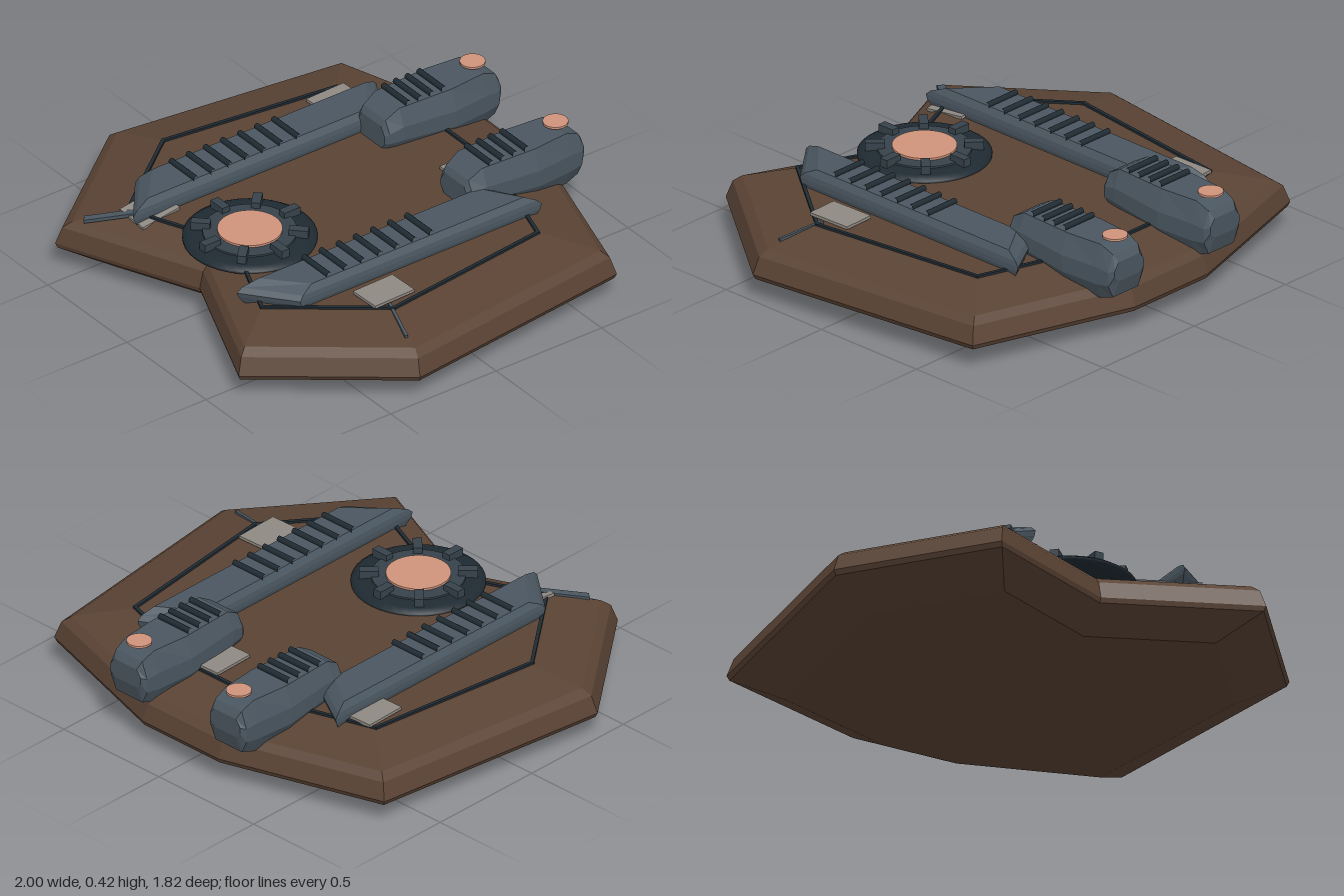
import * as THREE from 'three';

const mat = (name, color, extra = {}) => {
  const m = new THREE.MeshStandardMaterial({ color, ...extra });
  m.name = name;
  return m;
};

// Skin a stack of closed rings with flat facets and fan caps at both ends.
function loft(rings) {
  const pos = [];
  const tri = (a, b, c) => pos.push(...a, ...b, ...c);
  const n = rings[0].length;
  const mid = r => [0, 1, 2].map(k => r.reduce((s, p) => s + p[k], 0) / n);
  for (let j = 0; j < rings.length - 1; j++) {
    for (let i = 0; i < n; i++) {
      const k = (i + 1) % n, a = rings[j], b = rings[j + 1];
      tri(a[i], a[k], b[k]);
      tri(a[i], b[k], b[i]);
    }
  }
  const first = rings[0], last = rings[rings.length - 1];
  for (let i = 0; i < n; i++) {
    const k = (i + 1) % n;
    tri(mid(first), first[k], first[i]);
    tri(mid(last), last[i], last[k]);
  }
  const g = new THREE.BufferGeometry();
  g.setAttribute('position', new THREE.Float32BufferAttribute(pos, 3));
  g.computeVertexNormals();
  return g;
}

// Stack a plan outline at several heights: levels are [y, scaleX, scaleZ, shiftZ].
const stack = (outline, levels) =>
  loft(levels.map(([y, sx, sz, dz = 0]) => outline.map(([x, z]) => [x * sx, y, z * sz + dz])));

export function createModel() {
  const model = new THREE.Group();
  const brown = mat('hull brown', 0x5a4334);
  const slate = mat('slate', 0x4a5660);
  const gunmetal = mat('gunmetal', 0x36424b);
  const dark = mat('dark trim', 0x1f2a32);
  const copper = mat('copper', 0xcf937b);
  const grey = mat('patch grey', 0x8f8982);

  const add = (name, geo, material, x = 0, y = 0, z = 0, parent = model) => {
    const m = new THREE.Mesh(geo, material);
    m.name = name;
    m.position.set(x, y, z);
    parent.add(m);
    return m;
  };

  // Hull: notched bow, wide shoulders, shallow stern
  const half = [[0.58, 0.905], [1, 0.36], [0.87, -0.67], [0.2, -0.88]];
  const outline = [[0, 0.655], ...half, ...half.map(([x, z]) => [-x, z]).reverse()];
  add('hull', stack(outline, [
    [0, 0.8, 0.8], [0.09, 0.99, 0.99], [0.11, 1, 1],
    [0.18, 0.975, 0.975], [0.205, 0.94, 0.94], [0.25, 0.745, 0.745, 0.015],
  ]), brown);

  // Dark seam following the deck edge
  const seam = outline.map(([x, z]) => new THREE.Vector3(x * 0.73, 0.252, z * 0.73 + 0.018));
  seam.forEach((a, i) => {
    const b = seam[(i + 1) % seam.length];
    const s = add('deckSeam', new THREE.BoxGeometry(0.014, 0.014, a.distanceTo(b) + 0.012), dark);
    s.position.copy(a).lerp(b, 0.5);
    s.lookAt(b);
  });

  // Rails and engines, mirrored left and right
  const barGeo = new THREE.CylinderGeometry(0.012, 0.012, 0.16, 10, 1, true).rotateZ(Math.PI / 2);
  const engineStations = [ // z, half width, bottom, top
    [-0.91, 0.08, 0.27, 0.35], [-0.89, 0.095, 0.2, 0.38], [-0.83, 0.102, 0.18, 0.405],
    [-0.67, 0.122, 0.19, 0.405], [-0.43, 0.106, 0.22, 0.405], [-0.37, 0.097, 0.235, 0.37],
    [-0.355, 0.085, 0.245, 0.345],
  ];
  const engineGeo = loft(engineStations.map(([z, w, b, t]) => {
    const h = t - b, v = 0.72 * w;
    return [[v, b, z], [w, b + h * 0.3, z], [w, b + h * 0.62, z], [v, t, z],
      [-v, t, z], [-w, b + h * 0.62, z], [-w, b + h * 0.3, z], [-v, b, z]];
  }));
  for (const side of [1, -1]) {
    const rail = [[-0.097 * side, 0.725], [0.097 * side, 0.57], [0.097 * side, -0.575], [-0.097 * side, -0.46]];
    if (side < 0) rail.reverse();
    add('rail', stack(rail, [
      [0.235, 0.92, 0.96], [0.265, 1, 0.99], [0.285, 1, 1], [0.305, 0.96, 0.97], [0.33, 0.78, 0.88],
    ]), slate, 0.425 * side);
    for (let i = 0; i < 7; i++) add('railVent', barGeo, dark, 0.42 * side, 0.335, -0.07 + 0.081 * i);

    add('engine', engineGeo, slate, 0.262 * side);
    for (let i = 0; i < 4; i++) add('engineVent', barGeo, dark, 0.262 * side, 0.412, -0.64 + 0.056 * i);
    add('exhaustCap', new THREE.CylinderGeometry(0.049, 0.049, 0.009, 24), copper, 0.262 * side, 0.42, -0.835);
  }

  // Round hatch at the bow
  const hatch = new THREE.Group();
  hatch.name = 'hatch';
  hatch.position.set(0, 0, 0.417);
  model.add(hatch);
  const rim = [[0, 0.235], [0.235, 0.235], [0.257, 0.247], [0.257, 0.258], [0.235, 0.272], [0.18, 0.276], [0, 0.276]];
  add('hatchRim', new THREE.LatheGeometry(rim.map(p => new THREE.Vector2(...p)), 40), dark, 0, 0, 0, hatch);
  add('hatchRing', new THREE.CylinderGeometry(0.18, 0.185, 0.03, 40), gunmetal, 0, 0.267, 0, hatch);
  add('hatchLens', new THREE.CylinderGeometry(0.124, 0.124, 0.009, 40), copper, 0, 0.286, 0, hatch);
  for (let i = 0; i < 8; i++) {
    const a = i * Math.PI / 4;
    const clamp = add('hatchClamp', new THREE.BoxGeometry(0.036, 0.04, 0.075), gunmetal,
      Math.sin(a) * 0.188, 0.286, Math.cos(a) * 0.188, hatch);
    clamp.rotation.y = a;
  }

  // Repair patches: x, y, z, width, depth, tilt about x, tilt about z
  const patches = [
    [-0.565, 0.264, -0.405, 0.11, 0.18, 0, 0], [0.115, 0.264, -0.53, 0.11, 0.185, 0, 0],
    [0.63, 0.266, 0.255, 0.135, 0.19, 0, 0], [-0.375, 0.256, 0.61, 0.14, 0.18, 0.12, -0.12],
  ];
  for (const [x, y, z, w, d, rx, rz] of patches) {
    const p = add('repairPatch', new THREE.BoxGeometry(w, 0.012, d), grey, x, y, z);
    p.rotation.set(rx, 0.03, rz);
  }

  // Loose struts lying on the deck edge
  const struts = [[[0.7, 0.255, 0.28], [0.88, 0.222, 0.335]], [[-0.36, 0.265, 0.64], [-0.51, 0.22, 0.82]]];
  struts.forEach(([a, b], i) => {
    const A = new THREE.Vector3(...a), B = new THREE.Vector3(...b);
    const s = add('strut', new THREE.BoxGeometry(i ? 0.032 : 0.012, 0.014, A.distanceTo(B)), slate);
    s.position.copy(A).lerp(B, 0.5);
    s.lookAt(B);
  });

  return model;
}
